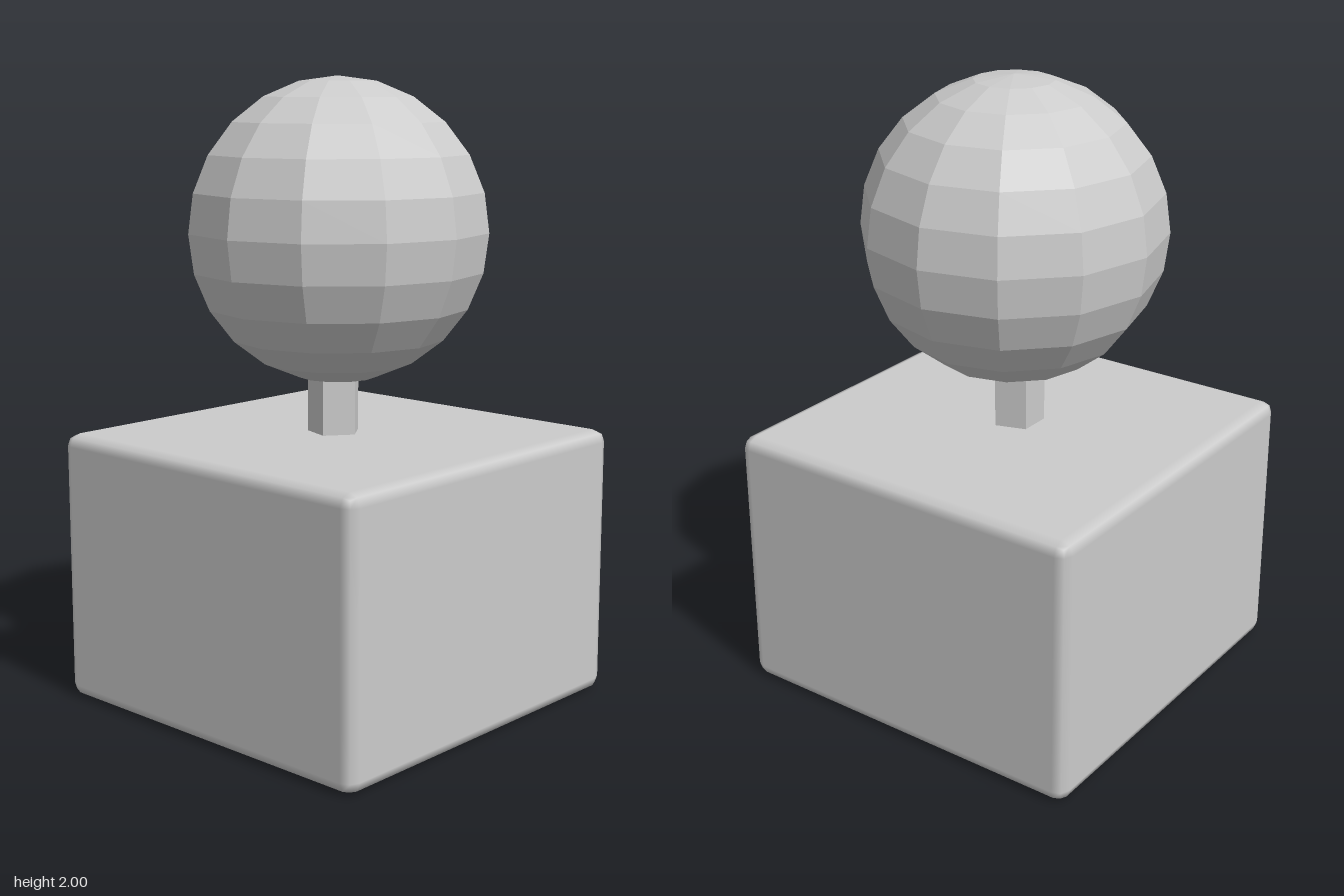
import * as THREE from 'three';
import { RoundedBoxGeometry } from 'three/addons/geometries/RoundedBoxGeometry.js';

export function createModel() {
  const group = new THREE.Group();
  const smooth = new THREE.MeshStandardMaterial({ color: 0xcccccc });
  const faceted = new THREE.MeshStandardMaterial({ color: 0xcccccc, flatShading: true });

  const add = (name, geometry, material, x, y, z) => {
    const mesh = new THREE.Mesh(geometry, material);
    mesh.name = name;
    mesh.position.set(x, y, z);
    group.add(mesh);
  };

  // Softly bevelled block
  add('base', new RoundedBoxGeometry(1.245, 0.875, 1.245, 1, 0.04), smooth, 0, 0.4375, 0);

  // Five-sided post, one corner facing +x, sunk into both neighbours
  add('stem', new THREE.CylinderGeometry(0.087, 0.087, 0.24, 5, 1, false, Math.PI / 2),
    faceted, -0.01, 0.96, 0.003);

  // Low-poly ball
  add('ball', new THREE.SphereGeometry(0.48, 12, 12), faceted, 0, 1.52, 0);

  return group;
}
